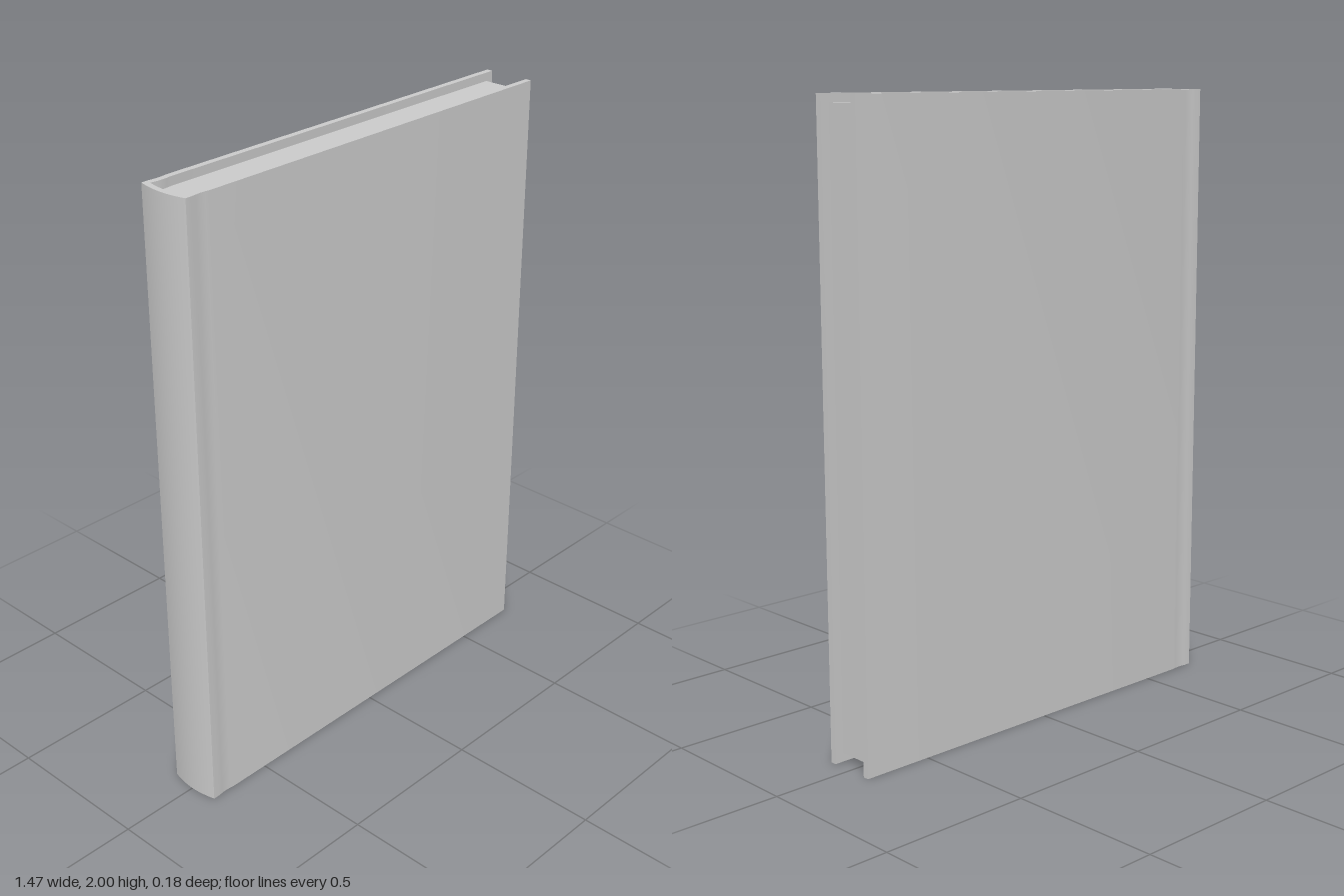
import * as THREE from 'three';
import { toCreasedNormals } from 'three/addons/utils/BufferGeometryUtils.js';

const material = new THREE.MeshStandardMaterial({ color: 0xcccccc });

// Half of a board profile from fore-edge to spine corner, with the shallow hinge groove
const boardEdge = (endX, cornerX, z) => [
  [endX, z], [-0.635, z], [-0.65, z - 0.002], [-0.667, z - 0.003],
  [-0.684, z - 0.002], [-0.699, z], [cornerX, z],
].map(([x, y]) => new THREE.Vector2(x, y));

// Rounded spine between the two corners (bulging towards -x)
function spineArc(cornerX, bulge, z, steps = 12) {
  const points = [];
  for (let i = 1; i < steps; i++) {
    const t = 1 - (2 * i) / steps;
    points.push(new THREE.Vector2(cornerX - bulge * (1 - t * t), z * t));
  }
  return points;
}

// Full path: front board, spine, back board
function wrap(endX, cornerX, bulge, z) {
  const half = boardEdge(endX, cornerX, z);
  const mirrored = half.map((p) => new THREE.Vector2(p.x, -p.y)).reverse();
  return [...half, ...spineArc(cornerX, bulge, z), ...mirrored];
}

// Extrudes a plan-view outline upwards from y = bottom
function standing(name, points, bottom, height) {
  const extruded = new THREE.ExtrudeGeometry(new THREE.Shape(points), {
    depth: height, bevelEnabled: false,
  });
  extruded.rotateX(-Math.PI / 2).translate(0, bottom, 0);
  const mesh = new THREE.Mesh(toCreasedNormals(extruded, 0.5), material);
  mesh.name = name;
  return mesh;
}

export function createModel() {
  const book = new THREE.Group();
  book.name = 'book';

  // Hard cover: boards and spine as one wrapped shell
  const outer = wrap(0.733, -0.721, 0.013, 0.088);
  const inner = wrap(0.733, -0.706, 0.009, 0.068).reverse();
  book.add(standing('cover', [...outer, ...inner], 0, 2));

  // Page block, set back from the cover at head, tail and fore-edge
  book.add(standing('pageBlock', wrap(0.703, -0.705, 0.009, 0.067), 0.028, 1.945));

  return book;
}
